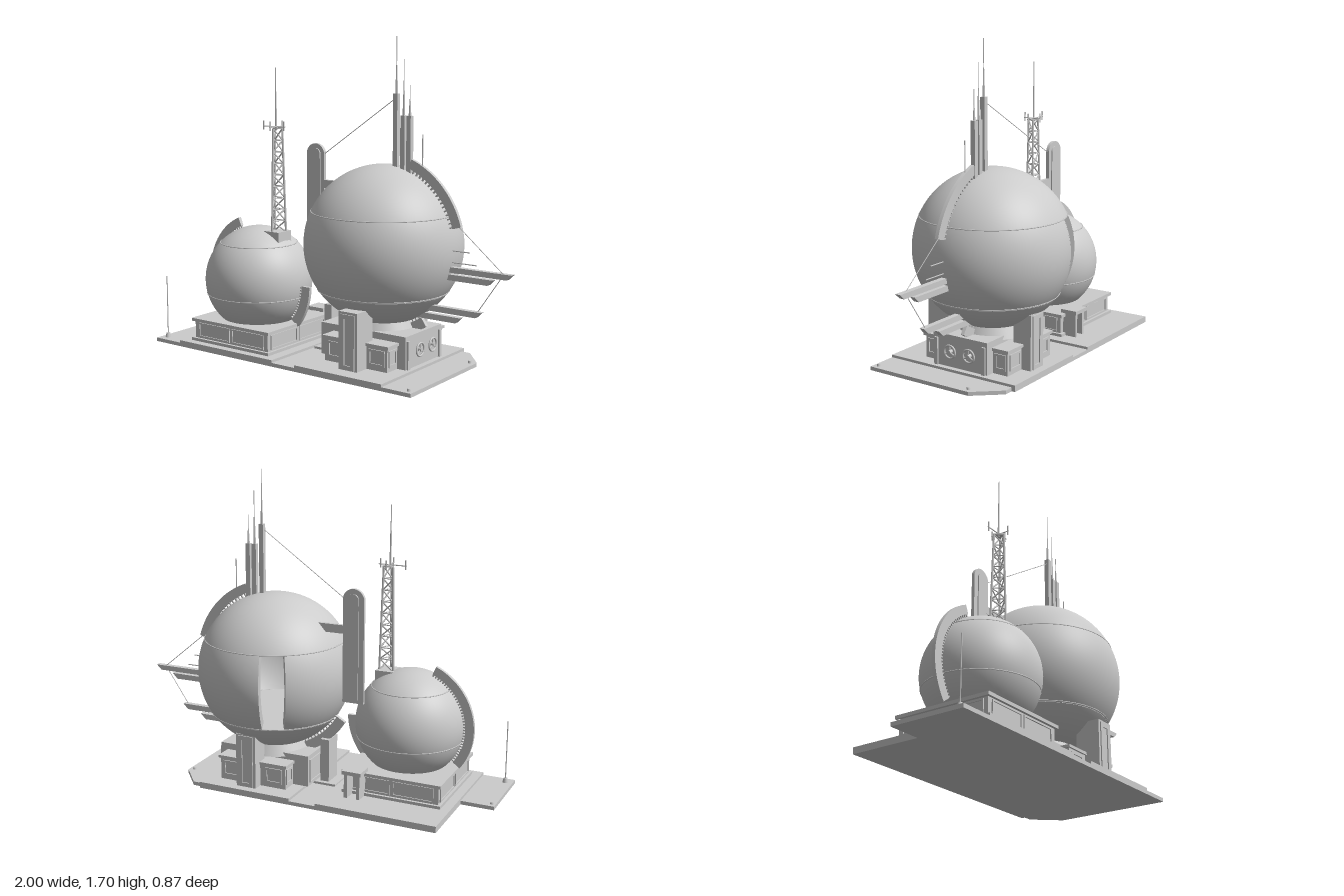
import * as THREE from 'three';

const RAD = Math.PI / 180;

export function createModel() {
  const model = new THREE.Group();
  const mat = new THREE.MeshStandardMaterial({ color: 0xcccccc });
  const shellMat = new THREE.MeshStandardMaterial({ color: 0xcccccc, side: THREE.DoubleSide });

  const add = (name, geo, x = 0, y = 0, z = 0, material = mat) => {
    const m = new THREE.Mesh(geo, material);
    m.name = name;
    m.position.set(x, y, z);
    model.add(m);
    return m;
  };
  // box given by its min and max on each axis
  const box = (name, x0, x1, y0, y1, z0, z1) =>
    add(name, new THREE.BoxGeometry(x1 - x0, y1 - y0, z1 - z0), (x0 + x1) / 2, (y0 + y1) / 2, (z0 + z1) / 2);
  // straight round rod between two points
  const rod = (name, a, b, r = 0.003, r2 = r, sides = 6) => {
    const p = new THREE.Vector3(...a), q = new THREE.Vector3(...b);
    const m = add(name, new THREE.CylinderGeometry(r2, r, p.distanceTo(q), sides));
    m.position.copy(p).lerp(q, 0.5);
    m.quaternion.setFromUnitVectors(new THREE.Vector3(0, 1, 0), q.clone().sub(p).normalize());
    return m;
  };
  const polygon = (pts) => new THREE.Shape(pts.map(([x, y]) => new THREE.Vector2(x, y)));
  // slab with a floor-plan outline of [x, z] points
  const plan = (name, pts, y0, y1) => {
    const g = new THREE.ExtrudeGeometry(polygon(pts.map(([x, z]) => [x, -z])), { depth: y1 - y0, bevelEnabled: false });
    add(name, g.rotateX(-Math.PI / 2), 0, y0, 0);
  };
  // curved fin around a sphere, in the xy plane
  const fin = (name, c, rIn, rOut, a0, a1, t = 0.02) => {
    const s = new THREE.Shape();
    s.absarc(0, 0, rOut, a0 * RAD, a1 * RAD, false);
    s.absarc(0, 0, rIn, a1 * RAD, a0 * RAD, true);
    const g = new THREE.ExtrudeGeometry(s, { depth: t, bevelEnabled: false, curveSegments: 32 });
    add(name, g.translate(0, 0, -t / 2), ...c);
    // studs that hold the fin off the sphere
    for (let a = a0 + 1; a < a1; a += 3) {
      const stud = add('finStud', new THREE.BoxGeometry(0.022, 0.007, 0.012),
        c[0] + Math.cos(a * RAD) * (rIn - 0.006), c[1] + Math.sin(a * RAD) * (rIn - 0.006), c[2]);
      stud.rotation.z = a * RAD;
    }
  };
  const seam = (c, R, y) => {
    const t = new THREE.TorusGeometry(Math.sqrt(R * R - (y - c[1]) ** 2), 0.003, 6, 64);
    add('seam', t.rotateX(Math.PI / 2), c[0], y, c[2]);
  };

  // ground plates
  plan('groundPlate', [[-1, 0.03], [-0.82, 0.03], [-0.82, -0.36], [0.53, -0.36], [0.53, -0.34], [0.58, -0.34],
    [0.7, -0.2], [0.7, 0.43], [-1, 0.43]], 0, 0.02);
  box('smallFloor', -0.82, -0.16, 0.02, 0.034, -0.36, 0.43);
  box('largeFloor', -0.01, 0.53, 0.02, 0.034, -0.36, 0.43);
  for (const [x, z] of [[-0.98, 0.06], [0.67, 0.4], [0.67, -0.18]])
    add('groundLamp', new THREE.CylinderGeometry(0.008, 0.01, 0.012, 12), x, 0.026, z);
  add('poleFoot', new THREE.CylinderGeometry(0.01, 0.016, 0.025, 16), -0.96, 0.032, 0.38);
  rod('pole', [-0.96, 0.02, 0.38], [-0.96, 0.37, 0.38], 0.003);

  // small dome and its plinth
  const S = [-0.495, 0.375, 0.13], SR = 0.295;
  add('smallSphere', new THREE.SphereGeometry(SR, 64, 40), ...S);
  seam(S, SR, 0.58);
  seam(S, SR, 0.3);
  fin('smallUpperFin', S, 0.308, 0.355, 113, 217);
  fin('smallLowerFin', S, 0.308, 0.36, -40, -1);
  box('plinth', -0.755, -0.235, 0.034, 0.148, -0.14, 0.37);
  box('plinthFoot', -0.77, -0.22, 0.034, 0.05, -0.155, 0.385);
  box('plinthCap', -0.77, -0.22, 0.143, 0.16, -0.155, 0.385);
  // raised frame lying on a wall; dir is the wall's outward axis
  const frame = (name, x, y, z, w, h, dir, b = 0.008) => {
    const g = new THREE.Group();
    g.name = name;
    for (const s of [-1, 1]) {
      const rail = new THREE.Mesh(new THREE.BoxGeometry(w, b, 0.012), mat);
      rail.position.y = s * (h - b) / 2;
      const stile = new THREE.Mesh(new THREE.BoxGeometry(b, h, 0.012), mat);
      stile.position.x = s * (w - b) / 2;
      g.add(rail, stile);
    }
    g.position.set(x, y, z);
    g.rotation.y = dir === 'x' ? Math.PI / 2 : 0;
    model.add(g);
  };
  for (const s of [-1, 1]) {
    for (const z of [-0.14, 0.37]) frame('plinthPanel', -0.495 + s * 0.12, 0.097, z, 0.225, 0.08, 'z');
    for (const x of [-0.755, -0.235]) frame('plinthPanel', x, 0.097, 0.115 + s * 0.12, 0.225, 0.08, 'x');
  }
  // porch behind the small dome
  for (const x of [-0.35, -0.28]) box('porchPost', x, x + 0.018, 0.034, 0.17, -0.22, -0.14);
  box('porchRoof', -0.36, -0.252, 0.165, 0.185, -0.23, -0.13);

  // lattice tower
  const T = [-0.36, 0.13];
  box('towerFoot', -0.41, -0.31, 0.57, 0.655, 0.075, 0.185);
  const corner = (i, y) => {
    const r = 0.046 - (y - 0.65) / 0.56 * 0.016, a = (i * 120 + 90) * RAD;
    return [T[0] + r * Math.cos(a), y, T[1] + r * Math.sin(a)];
  };
  const levels = 9, step = 0.56 / levels;
  for (let i = 0; i < 3; i++) {
    rod('towerLeg', corner(i, 0.65), corner(i, 1.21), 0.006);
    for (let k = 0; k < levels; k++) {
      const y = 0.65 + k * step, flip = k % 2;
      rod('towerBrace', corner(i + flip, y), corner(i + 1 - flip, y + step), 0.004);
      rod('towerRing', corner(i, y + step), corner(i + 1, y + step), 0.003);
    }
  }
  add('towerTop', new THREE.CylinderGeometry(0.036, 0.036, 0.008, 3), T[0], 1.212, T[1]);
  rod('towerMast', [T[0] - 0.005, 1.2, T[1]], [T[0] - 0.005, 1.4, T[1]], 0.006, 0.004);
  rod('towerAerial', [T[0] - 0.005, 1.4, T[1]], [T[0] - 0.005, 1.535, T[1]], 0.003, 0.002);
  rod('towerCrossbar', [-0.455, 1.22, 0.13], [-0.3, 1.22, 0.13], 0.003);
  rod('towerCrossbar', [T[0], 1.22, 0.08], [T[0], 1.22, 0.19], 0.003);
  for (const [x, z] of [[-0.45, 0.13], [-0.31, 0.13], [T[0], 0.185], [T[0], 0.085]])
    rod('sensor', [x, 1.2, z], [x, 1.25, z], 0.004);

  // large sphere with a doorway in its back left side
  const B = [0.235, 0.625, -0.02], BR = 0.42;
  const thTop = Math.acos(0.175 / BR), thBot = Math.acos(-0.235 / BR);
  const patch = (name, R, p0, p1, t0, t1) =>
    add(name, new THREE.SphereGeometry(R, 72, 24, p0 * RAD, (p1 - p0) * RAD, t0, t1 - t0), ...B, shellMat);
  patch('sphereTop', BR, 0, 360, 0, thTop);
  patch('sphereMiddle', BR, 305, 645, thTop, thBot);
  patch('sphereBottom', BR, 0, 360, thBot, Math.PI);
  const floorR = BR * Math.sin(thBot) - 0.003;
  add('innerFloor', new THREE.CylinderGeometry(floorR, floorR, 0.008, 48), B[0], 0.387, B[2]);
  // doorway jambs: curved ribs running inward from the opening's edges
  for (const phi of [285, 305]) {
    const s = new THREE.Shape();
    s.absarc(0, 0, BR, Math.PI / 2 - thTop, Math.PI / 2 - thBot, true);
    s.absarc(0, 0, BR - 0.05, Math.PI / 2 - thBot, Math.PI / 2 - thTop, false);
    const jamb = add('doorJamb', new THREE.ExtrudeGeometry(s, { depth: 0.006, bevelEnabled: false, curveSegments: 24 }), ...B);
    jamb.rotation.y = Math.PI + phi * RAD;
  }
  seam(B, BR, 0.8);
  seam(B, BR, 0.39);
  fin('upperFin', B, 0.437, 0.487, 16, 69);
  fin('lowerFin', B, 0.432, 0.485, 211, 304);

  // spires and aerials on top of the large sphere
  for (const [x, y, tip] of [[0.31, 1.41, 1.7], [0.355, 1.3, 1.585], [0.392, 1.3, 1.455]]) {
    box('spire', x - 0.013, x + 0.013, 0.98, y, -0.033, -0.007);
    rod('aerialBase', [x, y, -0.02], [x, y + (tip - y) * 0.5, -0.02], 0.007, 0.003);
    rod('aerialTip', [x, y, -0.02], [x, tip, -0.02], 0.002);
  }
  rod('finAerial', [0.47, 0.95, -0.02], [0.47, 1.21, -0.02], 0.003);

  // standing plaque with rounded top, tied to the large sphere
  const plaque = (name, x0, x1, y0, y1, z, t) => {
    const r = (x1 - x0) / 2, s = new THREE.Shape();
    s.moveTo(x0, y0);
    s.lineTo(x1, y0);
    s.absarc(x0 + r, y1 - r * 0.8, r, 0.25, Math.PI - 0.25, false);
    s.lineTo(x0, y0);
    add(name, new THREE.ExtrudeGeometry(s, { depth: t, bevelEnabled: false }), 0, 0, z - t / 2);
  };
  plaque('plaque', -0.31, -0.19, 0.51, 1.11, -0.075, 0.018);
  plaque('plaqueInset', -0.28, -0.215, 0.53, 1.09, -0.075, 0.03);
  box('plaqueBracket', -0.2, 0.02, 0.88, 0.925, -0.085, -0.065);

  // side blades with slanted tips, rods and stays
  const blade = (x0, x1, y0, y1) => {
    const s = polygon([[x0, y0], [x1 - 0.03, y0], [x1, y1], [x0, y1]]);
    add('sideBlade', new THREE.ExtrudeGeometry(s, { depth: 0.03, bevelEnabled: false }), 0, 0, -0.035);
  };
  blade(0.62, 0.995, 0.525, 0.553);
  blade(0.62, 0.89, 0.485, 0.515);
  blade(0.5, 0.825, 0.312, 0.342);
  blade(0.44, 0.71, 0.268, 0.298);
  rod('sideRod', [0.64, 0.635, -0.02], [0.75, 0.635, -0.02], 0.003);
  rod('sideRod', [0.63, 0.575, -0.02], [0.79, 0.575, -0.02], 0.003);
  rod('stay', [0.31, 1.39, -0.02], [-0.19, 1.07, -0.075], 0.002);
  rod('stay', [0.68, 0.765, -0.02], [0.94, 0.55, -0.02], 0.002);
  rod('stay', [0.93, 0.53, -0.02], [0.8, 0.34, -0.02], 0.002);

  // machine house under the large sphere
  box('houseCore', -0.03, 0.5, 0.034, 0.205, -0.17, 0.17);
  box('houseWing', 0.06, 0.45, 0.034, 0.16, -0.26, 0.26);
  box('houseCap', 0.05, 0.46, 0.155, 0.17, -0.27, 0.27);
  add('cradle', new THREE.CylinderGeometry(0.17, 0.2, 0.06, 32), B[0], 0.215, B[2]);
  for (const s of [-1, 1]) {
    for (const x of [0.13, 0.385]) frame('houseWindow', x, 0.1, s * 0.26, 0.1, 0.085, 'z', 0.012);
    for (const x of [0.06, 0.45]) frame('wingWindow', x, 0.1, s * 0.215, 0.07, 0.085, 'x', 0.012);
    frame('corePanel', -0.03, 0.115, s * 0.08, 0.14, 0.13, 'x');
    box('corePilaster', 0.49, 0.51, 0.034, 0.18, s * 0.15 - 0.01, s * 0.15 + 0.01);
    // valve wheel with three spokes
    const z = s * 0.06 - 0.005;
    add('valveWheel', new THREE.TorusGeometry(0.034, 0.005, 8, 28).rotateY(Math.PI / 2), 0.515, 0.12, z);
    add('valveHub', new THREE.CylinderGeometry(0.01, 0.01, 0.03, 12).rotateZ(Math.PI / 2), 0.51, 0.12, z);
    for (let k = 0; k < 3; k++) {
      const a = (90 + k * 120) * RAD;
      rod('valveSpoke', [0.515, 0.12, z], [0.515, 0.12 + 0.034 * Math.sin(a), z + 0.034 * Math.cos(a)], 0.004);
    }
  }

  // pylons that carry the large sphere
  box('frontPylon', 0.21, 0.325, 0.034, 0.335, 0.21, 0.345);
  box('backPylon', 0.21, 0.325, 0.034, 0.33, -0.315, -0.21);
  for (const z of [0.345, -0.315]) frame('pylonFrame', 0.2675, 0.18, z, 0.085, 0.285, 'z', 0.022);
  box('sidePylon', -0.1, -0.05, 0.02, 0.27, -0.055, 0.055);
  box('sidePylonFoot', -0.15, -0.02, 0.02, 0.032, -0.08, 0.08);

  return model;
}
